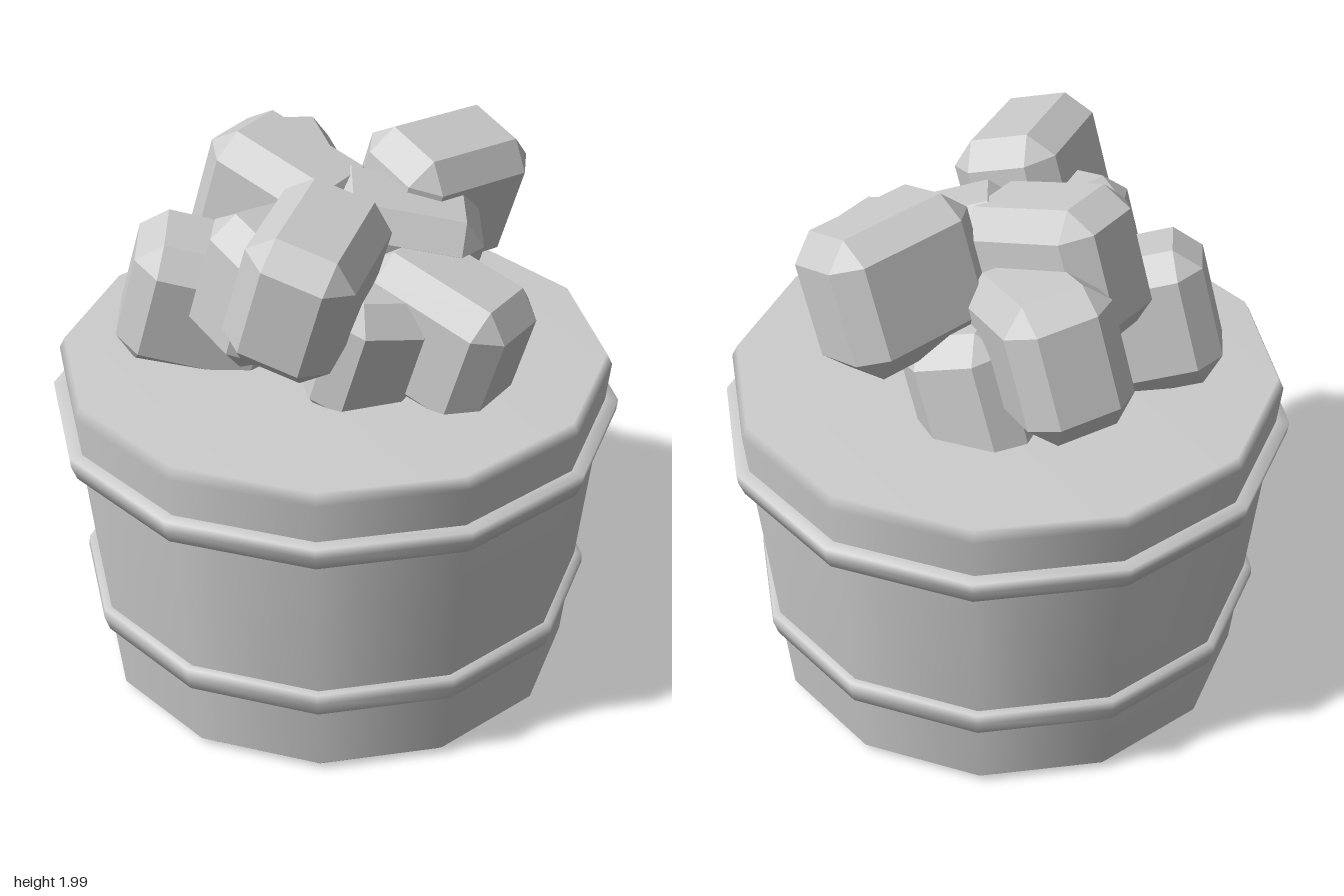
import * as THREE from 'three';
import { ConvexGeometry } from 'three/addons/geometries/ConvexGeometry.js';

const stone = new THREE.MeshStandardMaterial({ color: 0xcccccc });
stone.name = 'light grey';

// Twelve-sided turned part from [radius, height] pairs, bottom to top
function turned(name, profile) {
  const points = profile.map(([r, y]) => new THREE.Vector2(r, y));
  const mesh = new THREE.Mesh(new THREE.LatheGeometry(points, 12), stone);
  mesh.name = name;
  return mesh;
}

// Box with every edge and corner cut off
function chamferedBox(w, h, d, c) {
  const points = [];
  for (const x of [-w / 2, w / 2])
    for (const y of [-h / 2, h / 2])
      for (const z of [-d / 2, d / 2]) {
        const cx = Math.sign(x) * c, cy = Math.sign(y) * c, cz = Math.sign(z) * c;
        points.push(
          new THREE.Vector3(x, y - cy, z - cz),
          new THREE.Vector3(x - cx, y, z - cz),
          new THREE.Vector3(x - cx, y - cy, z)
        );
      }
  return new ConvexGeometry(points);
}

export function createModel() {
  const model = new THREE.Group();
  model.name = 'barrelOfChunks';

  // Closed, tapered tub with bevelled rim and foot
  model.add(turned('tub', [
    [0, 0], [0.805, 0], [0.84, 0.03], [0.97, 1.17], [0.95, 1.21], [0, 1.21],
  ]));

  // Hoops
  model.add(turned('lowerHoop', [
    [0.86, 0.28], [0.89, 0.28], [0.908, 0.335], [0.905, 0.37], [0.87, 0.37],
  ]));
  model.add(turned('upperHoop', [
    [0.93, 0.935], [0.975, 0.935], [0.995, 0.985], [1.0, 1.025], [0.94, 1.025],
  ]));

  // Heap of equal chunks: centre x, y, z and yaw in degrees, all leaning towards +x
  const chunkShape = chamferedBox(0.38, 0.5, 0.56, 0.085);
  const heap = new THREE.Group();
  heap.name = 'heap';
  const chunks = [
    [0.16, 1.69, 0.4, 16],
    [0.16, 1.69, -0.4, -16],
    [-0.21, 1.69, 0, 90],
    [0.42, 1.41, 0, 90],
    [-0.36, 1.41, 0.25, -57],
    [-0.36, 1.55, -0.25, 57],
    [-0.07, 1.55, 0.21, -16],
    [-0.07, 1.3, -0.21, 16],
    [0.16, 1.58, -0.1, -53],
    [0.16, 1.4, 0.11, 53],
  ];
  chunks.forEach(([x, y, z, yaw], i) => {
    const chunk = new THREE.Mesh(chunkShape, stone);
    chunk.name = `chunk${i + 1}`;
    chunk.position.set(x, y, z);
    chunk.rotation.set(0, THREE.MathUtils.degToRad(yaw), -0.3, 'ZYX');
    heap.add(chunk);
  });
  model.add(heap);

  return model;
}
